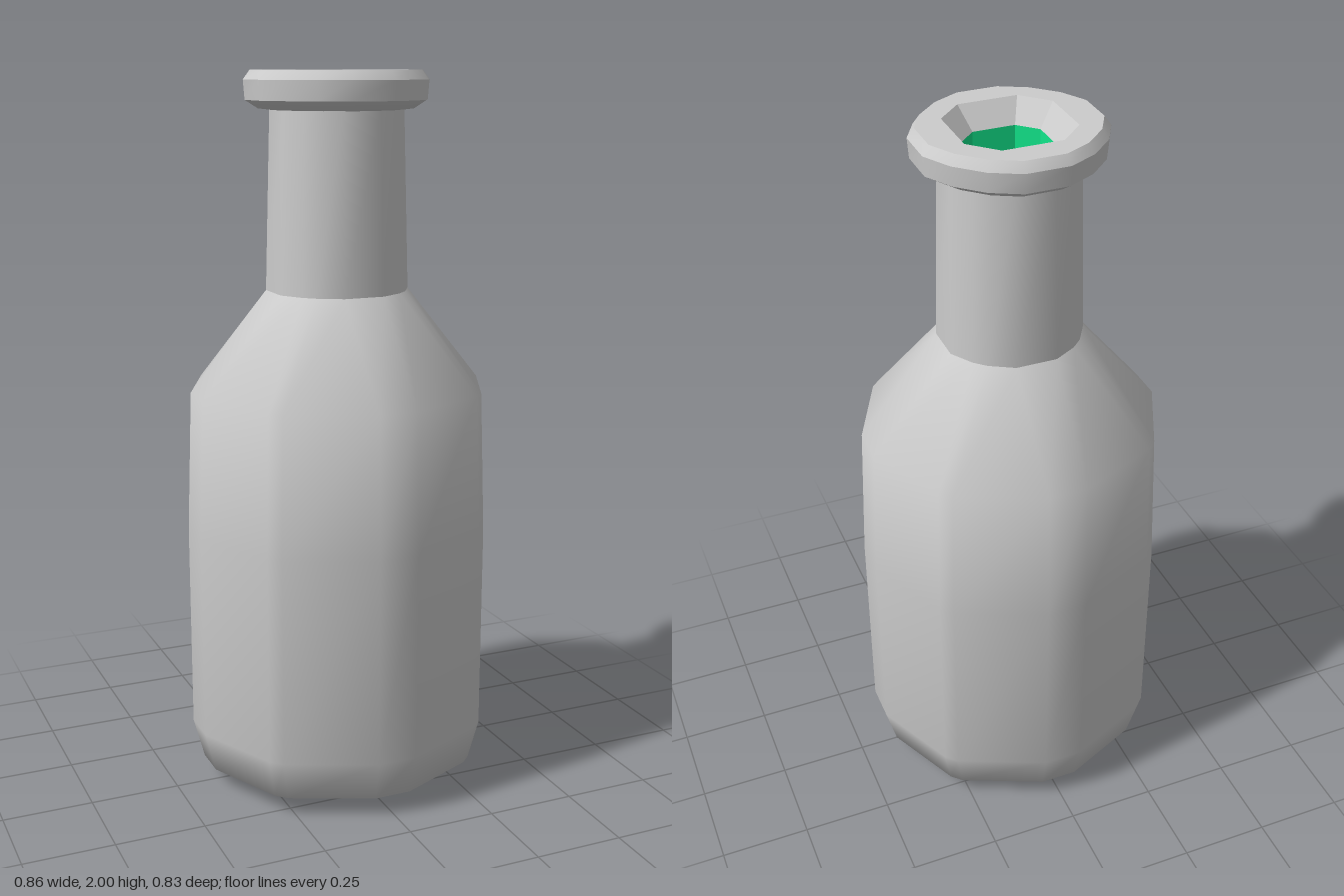
import * as THREE from 'three';
import { toCreasedNormals } from 'three/addons/utils/BufferGeometryUtils.js';

// Cross-section corner shapes (unit radius): [half width of side flat, corner p, corner q]
const BODY = [0.13, 0.75, 0.68];
const NECK = [0.3, 0.8, 0.64];
const BASE = [0.25, 0.78, 0.66];
const LIP = [0.24, 0.83, 0.56];
const BORE = [0.54, 0.77, 0.77];

// One 16-point ring: a quarter of the outline turned four times
function ring([y, r, shape, depth = 0.97]) {
  const [a, p, q] = shape;
  const quarter = [[1, a], [p, q], [q, p], [a, 1]];
  const points = [];
  for (let k = 0; k < 4; k++) {
    for (const [u, v] of quarter) {
      const [x, z] = [[u, v], [-v, u], [-u, -v], [v, -u]][k];
      points.push([x * r, y, z * r * depth]);
    }
  }
  return points;
}

// Skin between successive rings, listed upwards for outer walls, downwards for inner ones
function loft(sections, crease) {
  const rings = sections.map(ring);
  const pos = [];
  for (let i = 0; i < rings.length - 1; i++) {
    for (let k = 0; k < 16; k++) {
      const n = (k + 1) % 16;
      const [a, b, c, d] = [rings[i][k], rings[i][n], rings[i + 1][k], rings[i + 1][n]];
      if (sections[i][1] > 0) pos.push(...a, ...c, ...b);
      if (sections[i + 1][1] > 0) pos.push(...b, ...c, ...d);
    }
  }
  const g = new THREE.BufferGeometry();
  g.setAttribute('position', new THREE.Float32BufferAttribute(pos, 3));
  return toCreasedNormals(g, crease);
}

export function createModel() {
  const group = new THREE.Group();
  const glass = new THREE.MeshStandardMaterial({ color: 0xcccccc });
  const green = new THREE.MeshStandardMaterial({ color: 0x12e58a });
  const add = (name, material, sections, crease = 0.75) => {
    const mesh = new THREE.Mesh(loft(sections, crease), material);
    mesh.name = name;
    group.add(mesh);
  };

  // Flat base, and body with rounded foot and sloping shoulder
  add('base', glass, [[0, 0, BASE], [0, 0.24, BASE]]);
  add('body', glass, [
    [0, 0.24, BASE], [0.055, 0.4, BODY], [0.17, 0.43, BODY],
    [0.75, 0.43, BODY], [1.14, 0.415, BODY], [1.41, 0.19, NECK],
  ], 1.1);

  // Slightly tapering neck
  add('neck', glass, [[1.41, 0.19, NECK], [1.91, 0.176, NECK]]);

  // Bevelled lip with a funnel mouth
  add('lip', glass, [
    [1.895, 0.17, LIP], [1.9, 0.21, LIP], [1.922, 0.244, LIP], [1.975, 0.248, LIP],
    [2, 0.23, LIP], [2, 0.15, BORE, 1], [1.94, 0.107, BORE, 1],
  ], 0.6);

  // Coloured lining of the bore, closed by a shallow floor
  add('lining', green, [
    [1.94, 0.107, BORE, 1], [1.45, 0.103, BORE, 1], [1.43, 0, BORE, 1],
  ]);

  return group;
}
